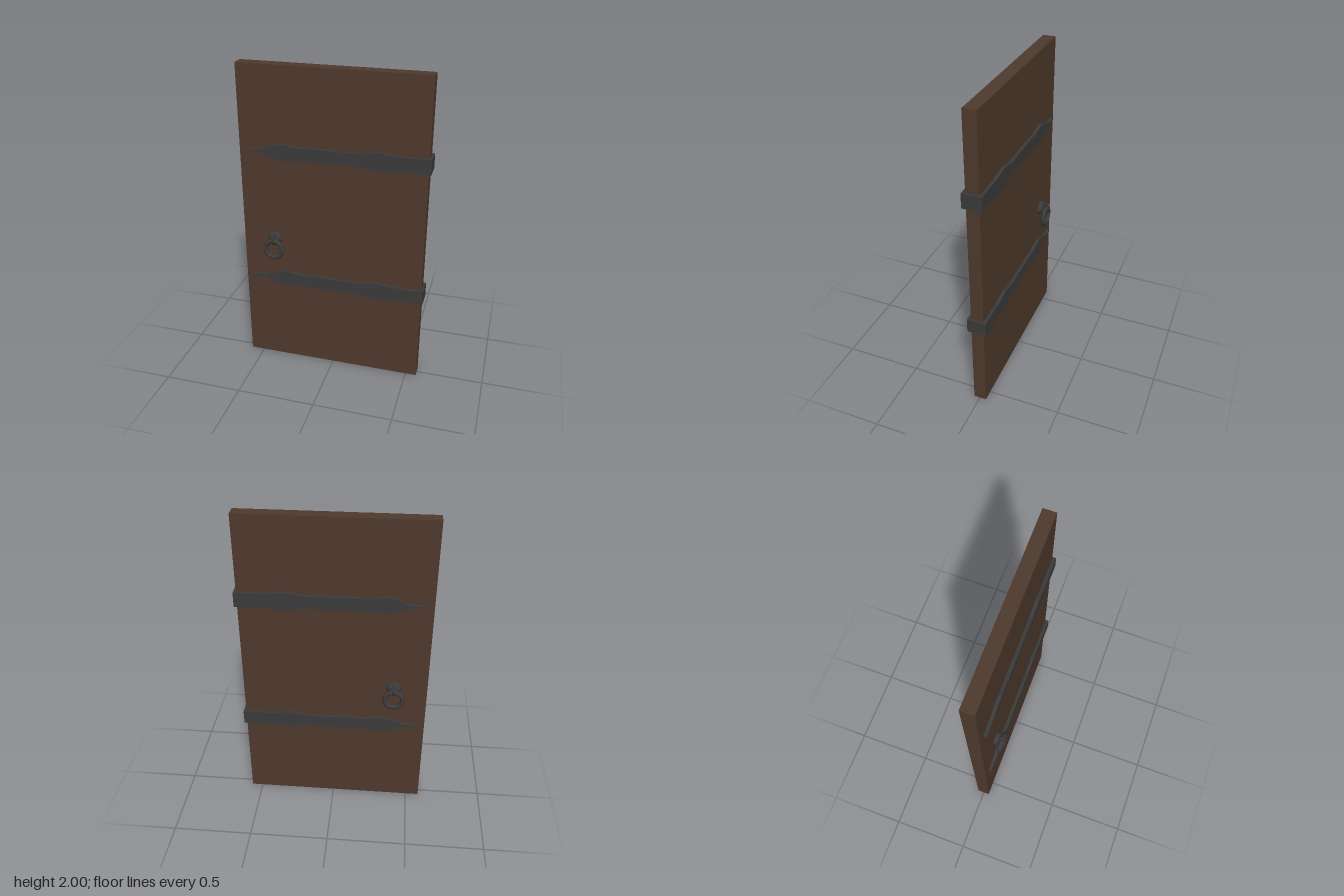
import * as THREE from 'three';

const wood = new THREE.MeshStandardMaterial({ color: 0x4f3a2d });
wood.name = 'dark wood';
const iron = new THREE.MeshStandardMaterial({ color: 0x3b3b3b });
iron.name = 'dark iron';

const MID_Z = -0.002; // middle of the door's thickness
const HALF = 0.04; // half the door's thickness
const PLATE = 0.02; // strap thickness

function add(parent, name, geometry, material, x = 0, y = 0, z = 0) {
  const mesh = new THREE.Mesh(geometry, material);
  mesh.name = name;
  mesh.position.set(x, y, z);
  parent.add(mesh);
  return mesh;
}

// Strap outline: x and half height from the pointed tip to the hinge edge
const STRAP = [
  [-0.54, 0.003], [-0.49, 0.006], [-0.44, 0.013], [-0.38, 0.037], [-0.317, 0.054],
  [-0.2, 0.039], [-0.085, 0.045], [0.01, 0.04], [0.18, 0.04],
  [0.275, 0.06], [0.39, 0.046], [0.585, 0.046],
];

function strapGeometry() {
  const upper = STRAP.map(([x, h]) => new THREE.Vector2(x, h));
  const lower = STRAP.map(([x, h]) => new THREE.Vector2(x, -h));
  const shape = new THREE.Shape([...lower, ...upper.reverse()]);
  return new THREE.ExtrudeGeometry(shape, { depth: PLATE, bevelEnabled: false });
}

// Strap that wraps round the hinge edge onto both faces
function makeHinge(y) {
  const hinge = new THREE.Group();
  hinge.name = 'hingeStrap';
  hinge.position.set(0, y, MID_Z);
  const plate = strapGeometry();
  add(hinge, 'frontStrap', plate, iron, 0, 0, HALF);
  add(hinge, 'backStrap', plate, iron, 0, 0, -HALF - PLATE);
  add(hinge, 'edgeStrap', new THREE.BoxGeometry(0.015, 0.092, 2 * HALF), iron, 0.5775, 0, 0);
  return hinge;
}

// Domed boss, small loop and hanging ring, facing +z
function makeHandle() {
  const handle = new THREE.Group();
  handle.name = 'ringHandle';
  const profile = [
    [0.046, 0], [0.046, 0.008], [0.043, 0.016], [0.037, 0.022], [0.026, 0.027], [0.012, 0.03], [0, 0.031],
  ].map(([r, h]) => new THREE.Vector2(r, h));
  const boss = add(handle, 'boss', new THREE.LatheGeometry(profile, 24), iron, 0, 0.893, HALF);
  boss.rotation.x = Math.PI / 2;
  const loop = add(handle, 'loop', new THREE.TorusGeometry(0.028, 0.0075, 10, 24), iron, 0, 0.902, 0.077);
  loop.rotation.y = Math.PI / 2;
  add(handle, 'ring', new THREE.TorusGeometry(0.056, 0.014, 12, 32), iron, 0, 0.832, 0.082);
  return handle;
}

export function createModel() {
  const model = new THREE.Group();
  model.name = 'door';
  add(model, 'doorPanel', new THREE.BoxGeometry(1.157, 2, 2 * HALF), wood, -0.0085, 1, MID_Z);

  for (const y of [1.48, 0.612]) model.add(makeHinge(y));

  // One handle on each face
  for (const turn of [0, Math.PI]) {
    const handle = makeHandle();
    handle.position.set(-0.38, 0, MID_Z);
    handle.rotation.y = turn;
    model.add(handle);
  }
  return model;
}
